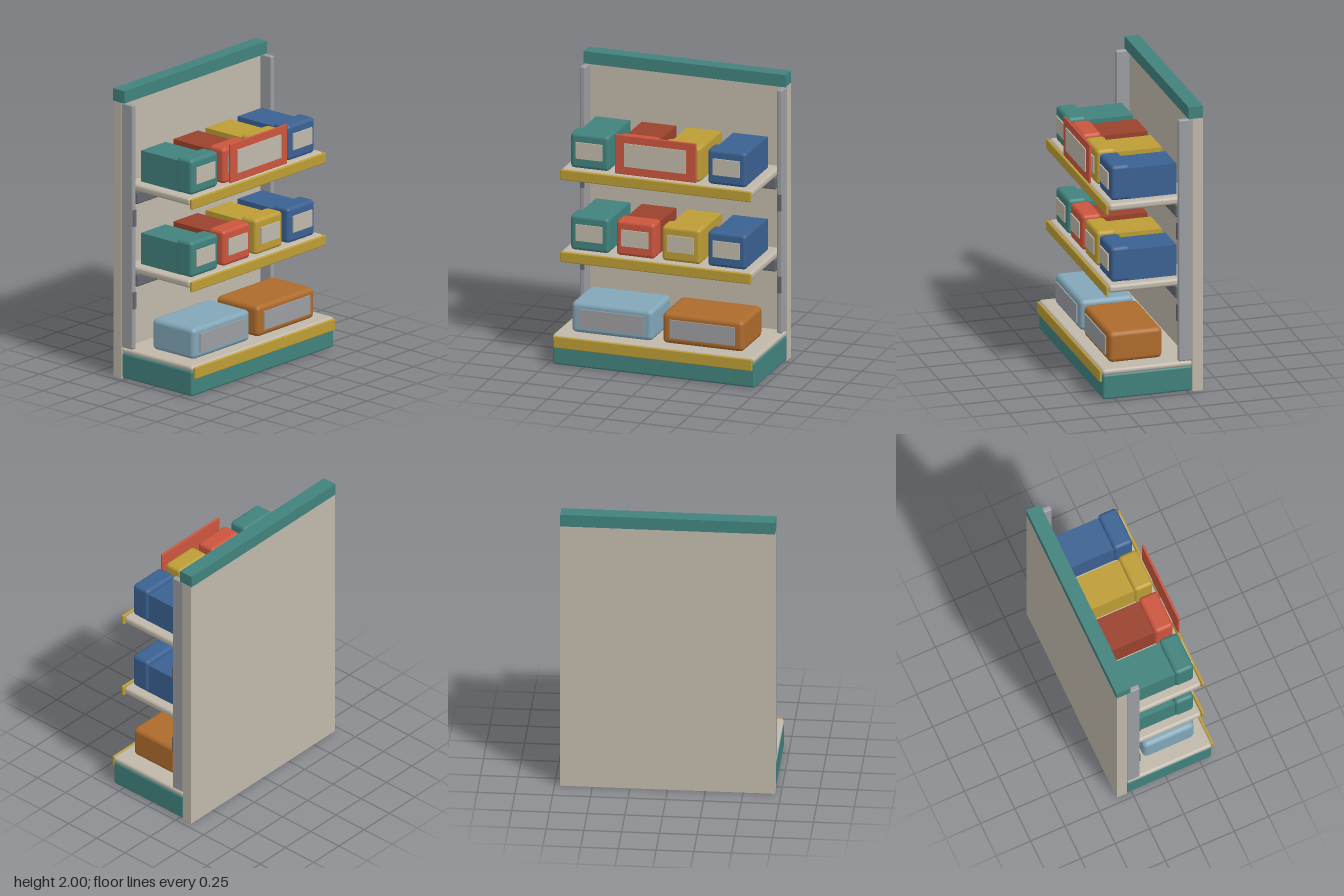
import * as THREE from 'three';
import { RoundedBoxGeometry } from 'three/addons/geometries/RoundedBoxGeometry.js';

function material(name, color) {
  const m = new THREE.MeshStandardMaterial({ color });
  m.name = name;
  return m;
}

export function createModel() {
  const model = new THREE.Group();
  model.name = 'storeShelf';

  const teal = material('teal', 0x41827d);
  const cream = material('cream', 0xc0b8aa);
  const grey = material('grey', 0x9c9da1);
  const dark = material('darkGrey', 0x66676e);
  const red = material('red', 0xcb553d);
  const brick = material('brickRed', 0x9a412d);
  const yellow = material('yellow', 0xbd9d36);
  const blue = material('blue', 0x3b6192);
  const paleBlue = material('paleBlue', 0x82a6b8);
  const orange = material('orange', 0xae6b2c);

  // Box given by its extents; a radius rounds its edges
  function box(parent, name, mat, [x0, x1], [y0, y1], [z0, z1], radius = 0) {
    const size = [x1 - x0, y1 - y0, z1 - z0];
    const geometry = radius
      ? new RoundedBoxGeometry(...size, 2, radius)
      : new THREE.BoxGeometry(...size);
    const mesh = new THREE.Mesh(geometry, mat);
    mesh.name = name;
    mesh.position.set((x0 + x1) / 2, (y0 + y1) / 2, (z0 + z1) / 2);
    parent.add(mesh);
    return mesh;
  }

  function group(name) {
    const g = new THREE.Group();
    g.name = name;
    model.add(g);
    return g;
  }

  // Back wall and header
  box(model, 'backPanel', cream, [-0.712, 0.712], [0, 1.917], [-0.355, -0.283]);
  box(model, 'header', teal, [-0.712, 0.712], [1.915, 2], [-0.357, -0.257]);

  // Plinth with its deck and price strip
  box(model, 'plinth', teal, [-0.712, 0.712], [0.005, 0.18], [-0.283, 0.335], 0.015);
  box(model, 'baseDeck', cream, [-0.712, 0.712], [0.175, 0.215], [-0.283, 0.338], 0.018);
  box(model, 'basePriceStrip', yellow, [-0.7, 0.7], [0.127, 0.208], [0.338, 0.356], 0.007);

  // Uprights with dark slots
  for (const side of [-1, 1]) {
    const upright = group(side > 0 ? 'leftUpright' : 'rightUpright');
    const x = side * 0.693;
    box(upright, 'post', grey, [x - 0.019, x + 0.019], [0.217, 1.915], [-0.283, -0.187], 0.01);
    for (const y of [0.558, 1.13]) {
      box(upright, 'slot', dark, [x - 0.014, x + 0.014], [y - 0.058, y + 0.058], [-0.195, -0.18]);
    }
  }

  // Storage bin: rear body, raised rounded front and label
  function bin(parent, x, y, frontMat, bodyMat) {
    const g = new THREE.Group();
    g.name = 'bin';
    parent.add(g);
    box(g, 'binBody', bodyMat, [x - 0.122, x + 0.122], [y, y + 0.215], [-0.205, 0.14]);
    box(g, 'binFront', frontMat, [x - 0.136, x + 0.136], [y, y + 0.245], [0.115, 0.25], 0.025);
    box(g, 'binLabel', cream, [x - 0.094, x + 0.094], [y + 0.072, y + 0.186], [0.252, 0.261]);
    box(g, 'labelBacking', frontMat, [x - 0.09, x + 0.09], [y + 0.076, y + 0.182], [0.24, 0.252]);
  }

  // Two stocked shelves
  for (const y of [0.787, 1.36]) {
    const shelf = group(y > 1 ? 'upperShelf' : 'middleShelf');
    box(shelf, 'shelfBoard', cream, [-0.672, 0.672], [y - 0.053, y], [-0.283, 0.28], 0.02);
    box(shelf, 'priceStrip', yellow, [-0.672, 0.672], [y - 0.075, y - 0.002], [0.282, 0.302], 0.008);
    box(shelf, 'rearRail', dark, [-0.672, 0.672], [y - 0.14, y - 0.05], [-0.283, -0.177], 0.012);
    const colours = [[teal, teal], [red, brick], [yellow, yellow], [blue, blue]];
    colours.forEach(([front, body], i) => bin(shelf, -0.483 + i * 0.322, y, front, body));
  }

  // Framed sign before the upper shelf
  const sign = group('sign');
  box(sign, 'signFrame', red, [-0.285, 0.285], [1.375, 1.648], [0.284, 0.3], 0.005);
  box(sign, 'signFace', cream, [-0.219, 0.216], [1.432, 1.594], [0.299, 0.307]);

  // Large boxes on the base deck
  for (const [x, mat] of [[-0.323, paleBlue], [0.318, orange]]) {
    const carton = group('carton');
    box(carton, 'cartonBody', mat, [x - 0.286, x + 0.286], [0.215, 0.43], [-0.11, 0.26], 0.032);
    box(carton, 'cartonLabel', grey, [x - 0.229, x + 0.229], [0.26, 0.388], [0.262, 0.271]);
    box(carton, 'labelBacking', mat, [x - 0.224, x + 0.224], [0.264, 0.384], [0.25, 0.262]);
  }

  return model;
}
